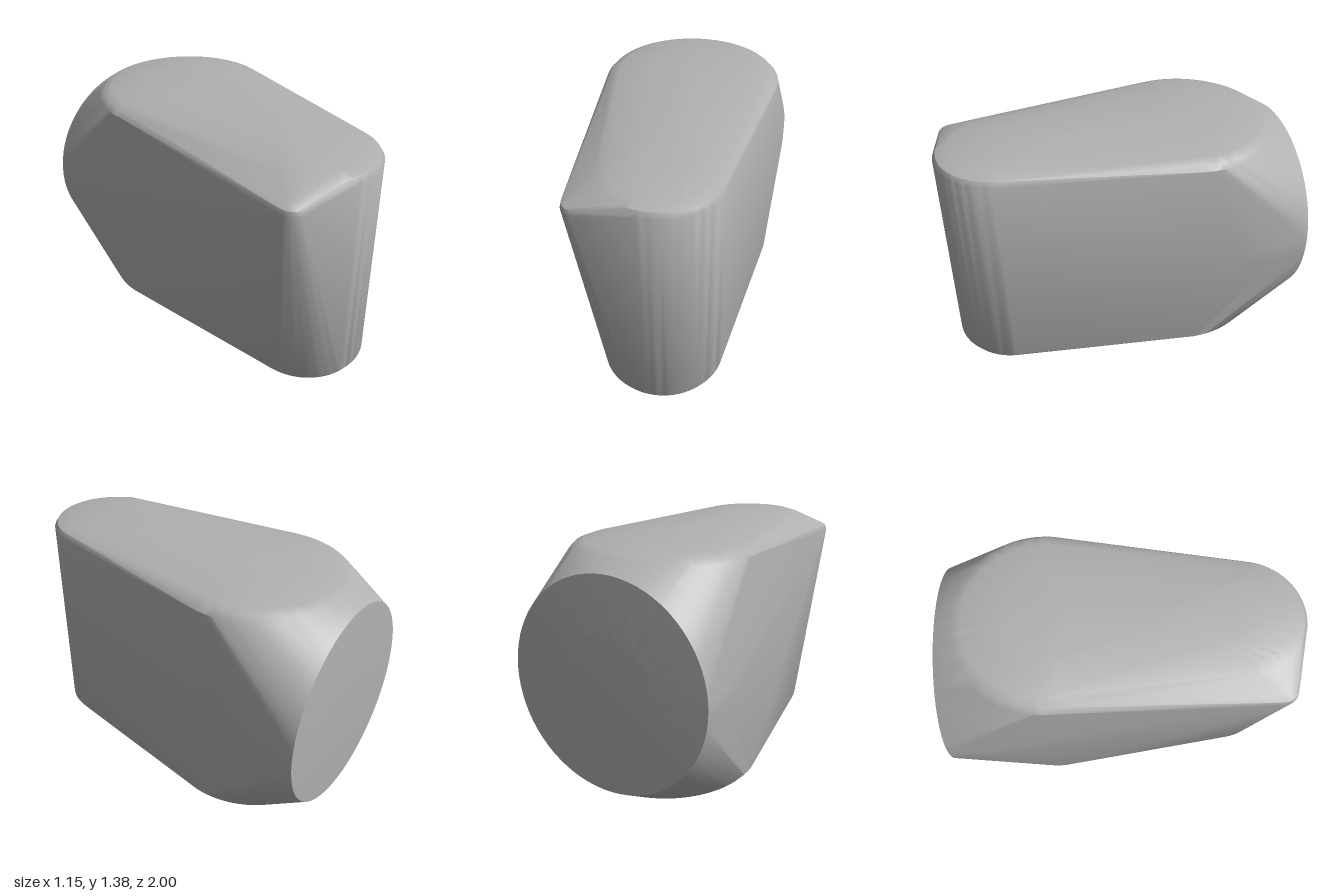
import * as THREE from 'three';
import { ConvexGeometry } from 'three/addons/geometries/ConvexGeometry.js';
import { toCreasedNormals } from 'three/addons/utils/BufferGeometryUtils.js';

const HEIGHT = 1.375, MID = HEIGHT / 2, SEGMENTS = 72;

export function createModel() {
  const grey = new THREE.MeshStandardMaterial({ color: 0xb0b0b0 });
  grey.name = 'grey';
  const points = [];

  // Calls back with the cosine and sine of evenly spaced angles
  const around = (count, place) => {
    for (let i = 0; i < count; i++) {
      const a = (i / count) * Math.PI * 2;
      place(Math.cos(a), Math.sin(a));
    }
  };

  // Teardrop outlines of the cap, from shoulder to crown:
  // y, back centre z, back radius, front centre z, front radius
  const outlines = [
    [1.3, -0.4, 0.512, 0.66, 0.34],
    [1.328, -0.4, 0.485, 0.66, 0.322],
    [1.346, -0.4, 0.435, 0.66, 0.265],
    [1.362, -0.36, 0.25, 0.5, 0.17],
    [1.375, -0.28, 0.04, 0.28, 0.04],
  ];
  for (const [y, backZ, backR, frontZ, frontR] of outlines) {
    around(SEGMENTS, (c, s) => {
      for (const level of [y, HEIGHT - y]) {
        if (s <= 0.16) points.push(new THREE.Vector3(backR * c, level, backZ + backR * s));
        if (s >= 0.16) points.push(new THREE.Vector3(frontR * c, level, frontZ + frontR * s));
      }
    });
  }

  // Round back face with a slight dome, and the barrel in front of it:
  // z, x radius, y radius
  const rounds = [
    [-1, 0.28, 0.28],
    [-0.985, 0.573, 0.583],
    [-0.78, 0.573, 0.583],
    [-0.58, 0.557, 0.5],
  ];
  for (const [z, rx, ry] of rounds) {
    around(SEGMENTS, (c, s) => points.push(new THREE.Vector3(rx * c, MID + ry * s, z)));
  }

  // Rounded corner at the upper front right
  for (const [y, r] of [[1.265, 0.06], [1.25, 0.085], [1.22, 0.092]]) {
    around(24, (c, s) => points.push(new THREE.Vector3(-0.367 + r * c, y, 0.848 + r * s)));
  }

  const geometry = toCreasedNormals(new ConvexGeometry(points), 0.6);
  const body = new THREE.Mesh(geometry, grey);
  body.name = 'body';

  const model = new THREE.Group();
  model.name = 'roundedBlock';
  model.add(body);
  return model;
}
